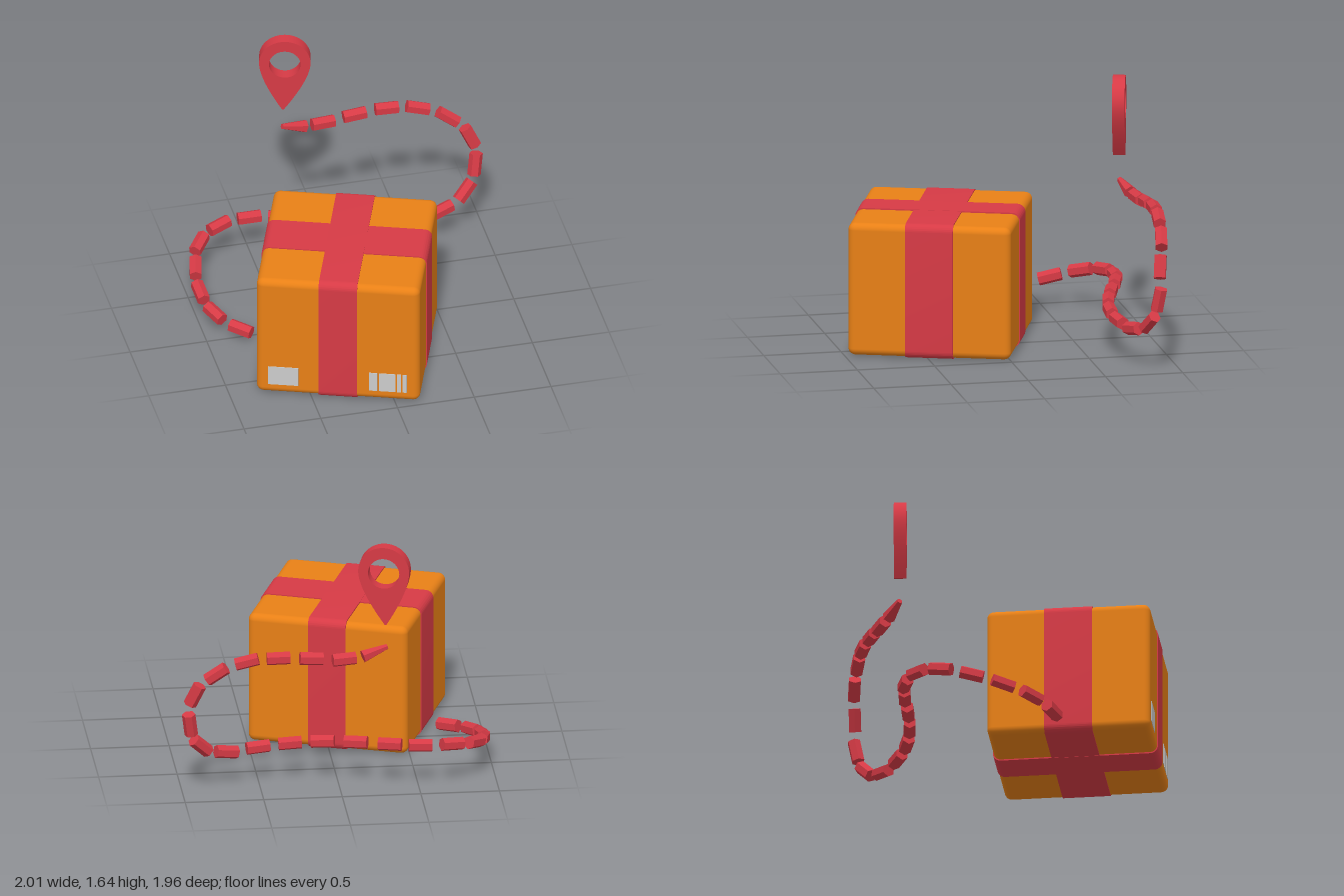
import * as THREE from 'three';
import { toCreasedNormals } from 'three/addons/utils/BufferGeometryUtils.js';
import { RoundedBoxGeometry } from 'three/addons/geometries/RoundedBoxGeometry.js';

const orange = new THREE.MeshStandardMaterial({ color: 0xe88016 });
const red = new THREE.MeshStandardMaterial({ color: 0xd63a45 });
const redFlat = new THREE.MeshStandardMaterial({ color: 0xd63a45, flatShading: true });
const grey = new THREE.MeshStandardMaterial({ color: 0xcccccc });

function add(parent, name, geometry, material) {
  const mesh = new THREE.Mesh(geometry, material);
  mesh.name = name;
  parent.add(mesh);
  return mesh;
}

// Extrusion centred in depth, with smooth curves and sharp edges
function slab(shape, depth) {
  const g = new THREE.ExtrudeGeometry(shape, { depth, bevelEnabled: false, curveSegments: 20 });
  g.translate(0, 0, -depth / 2);
  return toCreasedNormals(g, 0.6);
}

function roundedRect(w, h, r) {
  const s = new THREE.Shape(), x = w / 2, y = h / 2;
  s.absarc(x - r, y - r, r, 0, Math.PI / 2);
  s.absarc(-x + r, y - r, r, Math.PI / 2, Math.PI);
  s.absarc(-x + r, -y + r, r, Math.PI, Math.PI * 1.5);
  s.absarc(x - r, -y + r, r, Math.PI * 1.5, Math.PI * 2);
  s.closePath();
  return s;
}

function createParcel() {
  const parcel = new THREE.Group();
  parcel.name = 'parcel';
  add(parcel, 'carton', new RoundedBoxGeometry(1.04, 0.86, 1.04, 4, 0.045), orange);

  // Two bands of tape wrapped around the carton
  add(parcel, 'wideTape', slab(roundedRect(1.052, 0.874, 0.05), 0.306), red);
  add(parcel, 'narrowTape', slab(roundedRect(1.052, 0.877, 0.05), 0.246), red).rotation.y = Math.PI / 2;

  // Label and barcode on the front face: [left, right]
  const stickers = [[-0.444, -0.252], [0.2, 0.251], [0.263, 0.368], [0.377, 0.402], [0.411, 0.439]];
  stickers.forEach(([a, b], i) => {
    const m = add(parcel, i ? 'barcodeBar' : 'label', new THREE.BoxGeometry(b - a, 0.135, 0.006), grey);
    m.position.set((a + b) / 2, -0.292, 0.521);
  });
  parcel.position.set(-0.165, 0.44, 0.322);
  parcel.rotation.y = -THREE.MathUtils.degToRad(20);
  return parcel;
}

function createPin() {
  // Teardrop with a round hole
  const s = new THREE.Shape();
  s.moveTo(0.163, 0);
  s.absarc(0, 0, 0.163, 0, Math.PI);
  s.quadraticCurveTo(-0.163, -0.12, -0.018, -0.357);
  s.lineTo(-0.006, -0.357);
  s.quadraticCurveTo(0.163, -0.12, 0.163, 0);
  const hole = new THREE.Path();
  hole.absarc(0, -0.012, 0.1, 0, Math.PI * 2, true);
  s.holes.push(hole);
  const pin = new THREE.Mesh(slab(s, 0.08), red);
  pin.name = 'locationPin';
  pin.position.set(-0.283, 1.477, -0.86);
  pin.rotation.y = -THREE.MathUtils.degToRad(14);
  return pin;
}

function createTrail() {
  const trail = new THREE.Group();
  trail.name = 'dashedTrail';
  // Dash centres from the parcel up to the pin; first and last only guide the curve
  const points = [
    [-0.62, 0.06, 0.1], [-0.78, 0.07, 0.01], [-0.91, 0.1, -0.155], [-0.957, 0.14, -0.35],
    [-0.94, 0.19, -0.55], [-0.87, 0.24, -0.735], [-0.715, 0.275, -0.85], [-0.51, 0.285, -0.88],
    [-0.32, 0.285, -0.84], [-0.11, 0.28, -0.77], [0.095, 0.27, -0.71], [0.3, 0.255, -0.68],
    [0.505, 0.24, -0.69], [0.71, 0.235, -0.74], [0.88, 0.31, -0.81], [0.955, 0.475, -0.855],
    [0.925, 0.68, -0.87], [0.79, 0.83, -0.905], [0.6, 0.915, -0.928], [0.4, 0.935, -0.942],
    [0.19, 0.923, -0.937], [-0.02, 0.905, -0.922], [-0.22, 0.935, -0.885], [-0.42, 1.03, -0.83],
  ].map((p) => new THREE.Vector3(...p));
  const curve = new THREE.CatmullRomCurve3(points);
  const n = points.length - 1;
  for (let i = 1; i < n; i++) {
    const last = i === n - 1; // the final dash tapers
    const g = new THREE.CylinderGeometry(last ? 0.018 : 0.043, 0.043, last ? 0.17 : 0.148, 6);
    g.rotateX(Math.PI / 2);
    const dash = add(trail, 'dash', g, redFlat);
    dash.position.copy(points[i]);
    dash.lookAt(points[i].clone().add(curve.getTangent(i / n)));
  }
  return trail;
}

export function createModel() {
  const model = new THREE.Group();
  model.name = 'parcelDelivery';
  model.add(createParcel(), createPin(), createTrail());
  return model;
}
